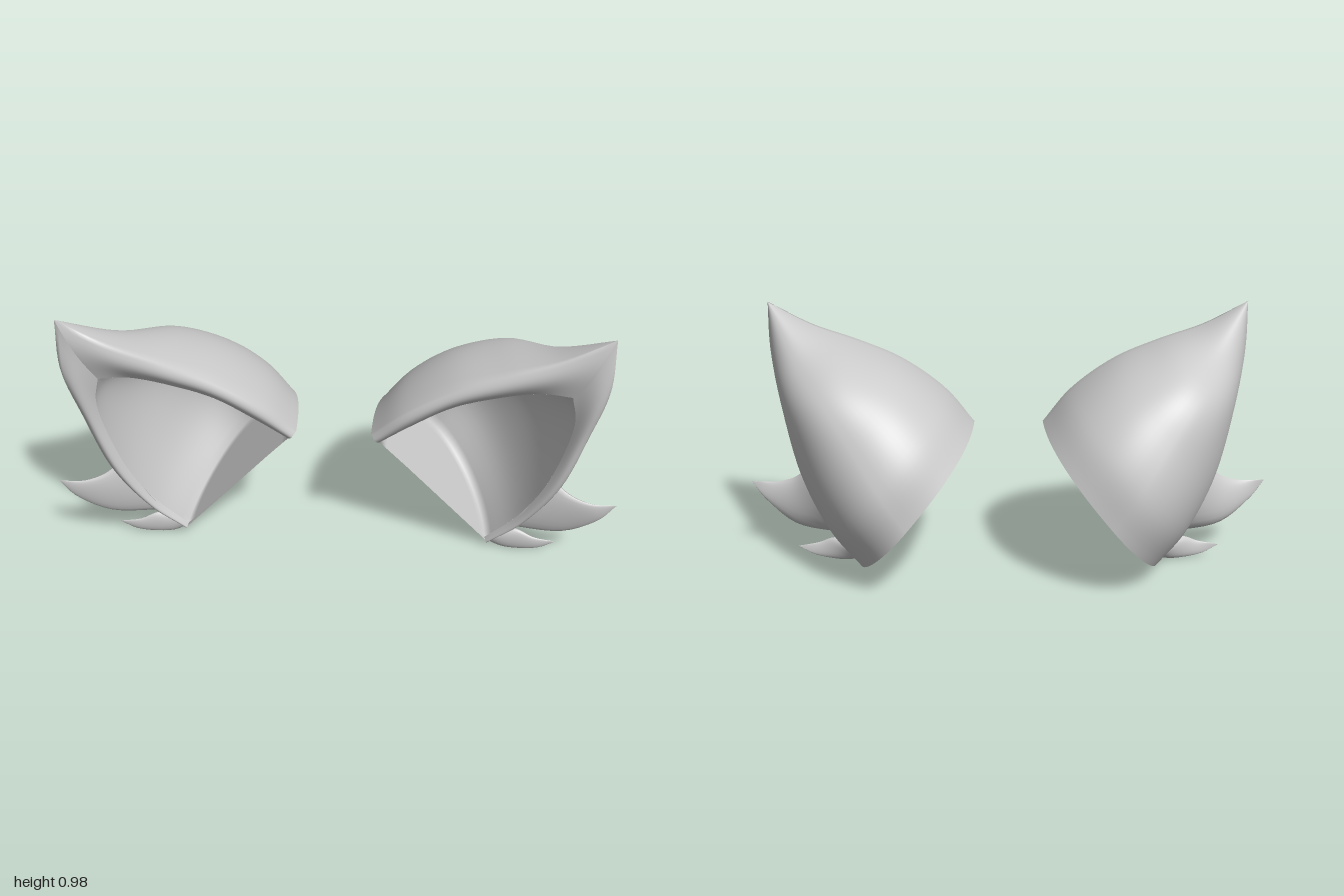
import * as THREE from 'three';

const material = new THREE.MeshStandardMaterial({ color: 0xcccccc, side: THREE.DoubleSide, roughness: 0.8 });
const { lerp } = THREE.MathUtils;

// Smooth curve through [x, y, z] points, evenly spaced in the parameter
const curve = (...pts) => new THREE.CatmullRomCurve3(pts.map(p => new THREE.Vector3(...p)), false, 'catmullrom', 0.5);

// Outer shell: upper rim, outer rim and ridge of the back, from base to tip
const outer = {
  upper: curve([.13, .54, .2], [.24, .66, .245], [.4, .77, .27], [.57, .84, .285], [.74, .9, .285], [.9, .985, .28]),
  lower: curve([.57, .02, .12], [.69, .15, .165], [.8, .35, .21], [.865, .6, .25], [.903, .8, .285], [.9, .985, .28]),
  back: curve([.36, .29, -.29], [.45, .43, -.295], [.55, .58, -.235], [.66, .72, -.135], [.78, .83, .08], [.9, .985, .28]),
};

// Hollow of the ear, ending below the tip
const inner = {
  upper: curve([.16, .505, .2], [.27, .6, .23], [.4, .69, .25], [.54, .74, .26], [.68, .765, .26], [.79, .755, .26]),
  lower: curve([.56, .045, .125], [.66, .17, .16], [.74, .33, .2], [.79, .5, .225], [.81, .65, .25], [.79, .755, .26]),
  back: curve([.36, .295, -.24], [.46, .44, -.235], [.55, .56, -.17], [.64, .655, -.06], [.73, .72, .11], [.79, .755, .26]),
};

// Fur tufts: upper edge, lower edge, and half thickness of the root in front and behind
const tufts = [
  {
    name: 'largeTuft',
    top: curve([.765, .37, .165], [.83, .315, .195], [.91, .29, .215], [1, .29, .22]),
    bottom: curve([.635, .115, .135], [.82, .13, .175], [.94, .21, .21], [1, .29, .22]),
    front: .03, behind: .1,
  },
  {
    name: 'smallTuft',
    top: curve([.615, .09, .11], [.68, .09, .13], [.74, .065, .14], [.82, .05, .14]),
    bottom: curve([.555, .03, .105], [.63, .002, .12], [.745, .012, .135], [.82, .05, .14]),
    front: .025, behind: .06,
  },
];

// Cross-section from the upper rim (t = 0) round the back to the outer rim (t = 1):
// near the base it is fuller than an ellipse above and flatter below
function arc(shell, s, t) {
  const a = shell.upper.getPoint(s), b = shell.lower.getPoint(s), back = shell.back.getPoint(s);
  const mid = a.clone().add(b).multiplyScalar(0.5);
  const cos = Math.cos(Math.PI * t), sin = Math.max(0, Math.sin(Math.PI * t));
  const power = cos > 0 ? lerp(.76, 1, s) : lerp(1.12, .85, s);
  return mid.clone()
    .addScaledVector(a.sub(mid), Math.sign(cos) * Math.abs(cos) ** power)
    .addScaledVector(back.sub(mid), sin ** power);
}

// Rounded lip between the hollow (a = 0) and the shell (a = 1)
function lip(edge, s, a) {
  const p = inner[edge].getPoint(s).lerp(outer[edge].getPoint(s), a);
  p.z += 0.02 * Math.sin(Math.PI * a);
  return p;
}

// Shell with both lips in one smooth strip
function shellPoint(u, s) {
  const t = 1 - u, w = 0.15;
  if (t < w) return lip('upper', s, t / w);
  if (t > 1 - w) return lip('lower', s, (1 - t) / w);
  return arc(outer, s, (t - w) / (1 - 2 * w));
}

// Flat half-round disc across the base of a shell, from its middle (v = 0) to the arc (v = 1)
function basePoint(shell, u, v) {
  const mid = shell.upper.getPoint(0).lerp(shell.lower.getPoint(0), 0.5);
  return mid.lerp(arc(shell, 0, u), v);
}

// Lining: floor and wall in one surface, so the corner between them shades softly
function hollowPoint(u, v) {
  const floor = 0.25;
  return v < floor ? basePoint(inner, u, v / floor) : arc(inner, (v - floor) / (1 - floor), u);
}

// Tuft sections narrow to a point and flare at the back of the root to blend with the shell
const tuftPoint = tuft => (u, v) => {
  const a = u * Math.PI * 2, top = tuft.top.getPoint(v), bottom = tuft.bottom.getPoint(v);
  const mid = top.clone().add(bottom).multiplyScalar(0.5);
  const p = mid.clone().addScaledVector(top.sub(mid), Math.cos(a));
  const depth = Math.sin(a) > 0 ? tuft.front * (1 - v) : tuft.behind * (1 - v) ** 2;
  p.z += depth * Math.sin(a);
  return p;
};

// Surface grid from a point rule; side -1 mirrors it and keeps the faces outward
function surface(name, rule, nu, nv, side) {
  const geometry = new THREE.PlaneGeometry(1, 1, nu, nv);
  const { position, uv } = geometry.attributes;
  for (let i = 0; i < position.count; i++) {
    const u = side > 0 ? uv.getX(i) : 1 - uv.getX(i);
    const p = rule(u, uv.getY(i));
    position.setXYZ(i, p.x * side, p.y, p.z);
  }
  geometry.computeVertexNormals();
  const mesh = new THREE.Mesh(geometry, material);
  mesh.name = name;
  return mesh;
}

function createEar(side) {
  const ear = new THREE.Group();
  ear.name = side > 0 ? 'leftEar' : 'rightEar';
  ear.add(surface('outerShell', shellPoint, 60, 32, side));
  ear.add(surface('innerHollow', hollowPoint, 40, 32, side));
  ear.add(surface('base', (u, v) => basePoint(outer, u, 1 - v), 42, 2, -side));
  ear.children[2].scale.x = -1;
  for (const tuft of tufts) ear.add(surface(tuft.name, tuftPoint(tuft), 20, 14, side));
  return ear;
}

export function createModel() {
  const model = new THREE.Group();
  model.name = 'earPair';
  for (const side of [1, -1]) model.add(createEar(side));
  return model;
}
